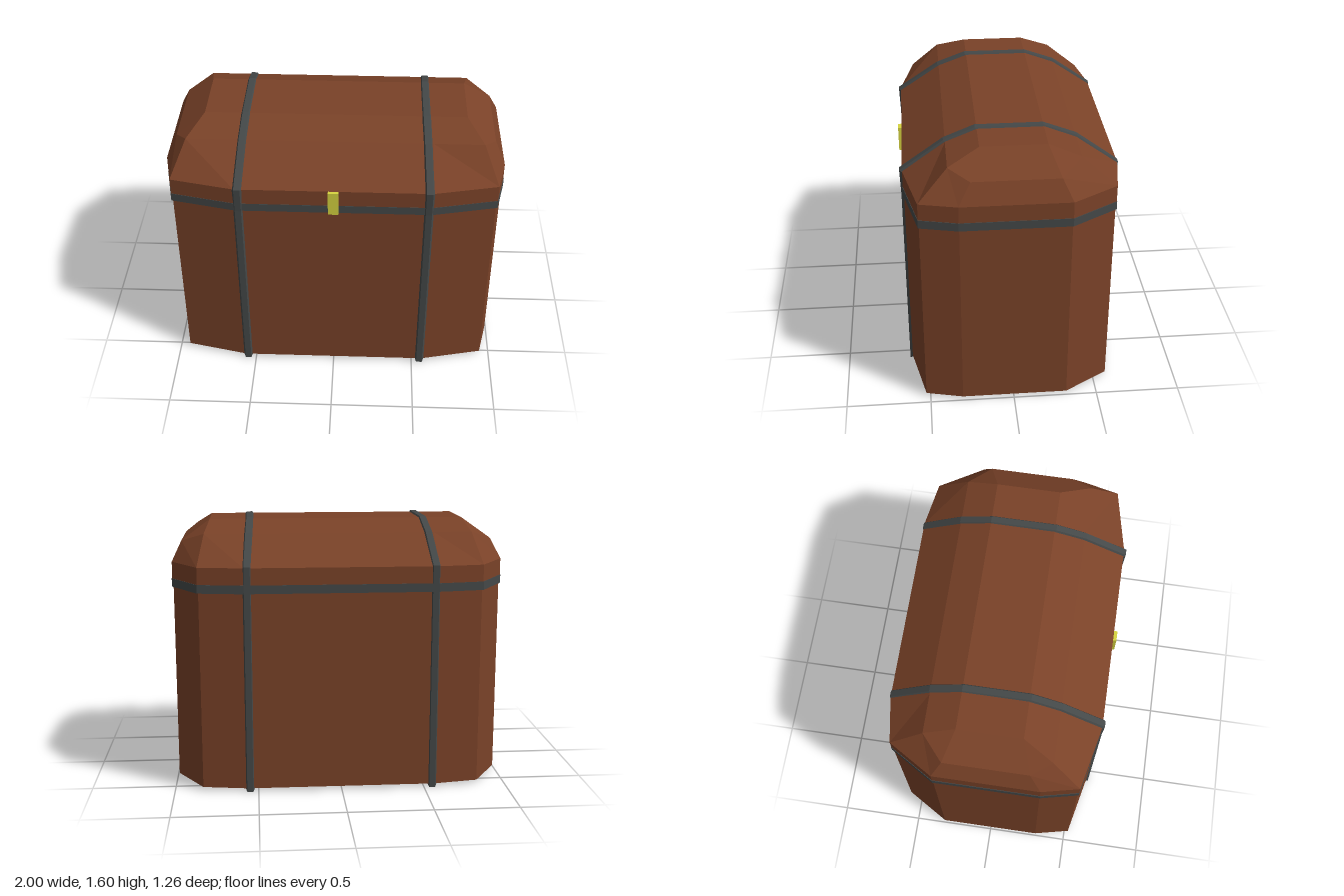
import * as THREE from 'three';

const wood = new THREE.MeshStandardMaterial({ color: 0x7a4228 });
wood.name = 'brown wood';
const iron = new THREE.MeshStandardMaterial({ color: 0x444848 });
iron.name = 'dark iron';
const brass = new THREE.MeshStandardMaterial({ color: 0xd6d440 });
brass.name = 'yellow brass';

// Skins a stack of closed rings with flat faces, capping both ends on request
function loft(rings, caps = true) {
  const pos = [];
  const tri = (...points) => points.forEach((p) => pos.push(...p));
  const n = rings[0].length;
  for (let r = 0; r < rings.length - 1; r++) {
    const a = rings[r], b = rings[r + 1];
    for (let i = 0; i < n; i++) {
      const j = (i + 1) % n;
      tri(a[i], b[i], b[j]);
      tri(a[i], b[j], a[j]);
    }
  }
  if (caps) {
    const low = rings[0], high = rings[rings.length - 1];
    for (let i = 1; i < n - 1; i++) {
      tri(low[0], low[i], low[i + 1]);
      tri(high[0], high[i + 1], high[i]);
    }
  }
  const geometry = new THREE.BufferGeometry();
  geometry.setAttribute('position', new THREE.Float32BufferAttribute(pos, 3));
  geometry.computeVertexNormals();
  return geometry;
}

// Completes the +x half of a ring (back to front) with its mirror image
const mirrorRing = (half) => [...half, ...half.slice().reverse().map(([x, y, z]) => [-x, y, z])];

// Twelve-sided footprint of the chest, right half as [x, z]
const footprint = [[0.57, -0.63], [0.84, -0.585], [1, -0.32], [1, 0.31], [0.95, 0.53], [0.57, 0.612]];
const outline = (y, s) => mirrorRing(footprint.map(([x, z]) => [x * s, y, z * s]));

// Strap centre offset, side profile of its face and of its foot, as [z, y]
const strapX = [0.55, 0.55, 0.55, 0.537, 0.53, 0.53, 0.537, 0.55, 0.55, 0.55];
const strapOuter = [[0.618, 0], [0.618, 1.2], [0.624, 1.355], [0.37, 1.53], [0.19, 1.6],
  [-0.2, 1.6], [-0.39, 1.53], [-0.632, 1.355], [-0.63, 1.2], [-0.63, 0]];
const strapInner = [[0.6, 0.025], [0.6, 1.2], [0.606, 1.345], [0.355, 1.515], [0.18, 1.585],
  [-0.19, 1.585], [-0.38, 1.515], [-0.62, 1.345], [-0.615, 1.2], [-0.615, 0.025]];

function strap(side) {
  const loop = (profile, dx) => profile.map(([z, y], i) => [side * strapX[i] + dx, y, z]);
  return loft([
    loop(strapInner, -0.03), loop(strapOuter, -0.018),
    loop(strapOuter, 0.018), loop(strapInner, 0.03),
  ], false);
}

export function createModel() {
  const chest = new THREE.Group();
  chest.name = 'chest';
  const add = (name, geometry, material) => {
    const mesh = new THREE.Mesh(geometry, material);
    mesh.name = name;
    chest.add(mesh);
    return mesh;
  };

  // Straight-sided body
  add('body', loft([outline(0.02, 0.99), outline(1.21, 0.99)]), wood);

  // Faceted domed lid
  const shoulder = mirrorRing([[0.57, 1.522, -0.385], [0.8, 1.522, -0.385], [0.94, 1.47, -0.26],
    [0.94, 1.47, 0.24], [0.865, 1.522, 0.36], [0.57, 1.522, 0.36]]);
  const crown = mirrorRing([[0.57, 1.592, -0.2], [0.77, 1.592, -0.2], [0.77, 1.592, -0.2],
    [0.77, 1.592, 0.18], [0.77, 1.592, 0.18], [0.57, 1.592, 0.18]]);
  add('lid', loft([outline(1.205, 0.997), outline(1.35, 0.997), shoulder, crown]), wood);

  // Iron rim around the seam and two straps round the whole chest
  add('rimBand', loft([outline(1.2, 1), outline(1.25, 1)]), iron);
  add('leftStrap', strap(1), iron);
  add('rightStrap', strap(-1), iron);

  // Latch plate
  add('latch', new THREE.BoxGeometry(0.06, 0.15, 0.03), brass).position.set(0, 1.275, 0.615);

  return chest;
}
